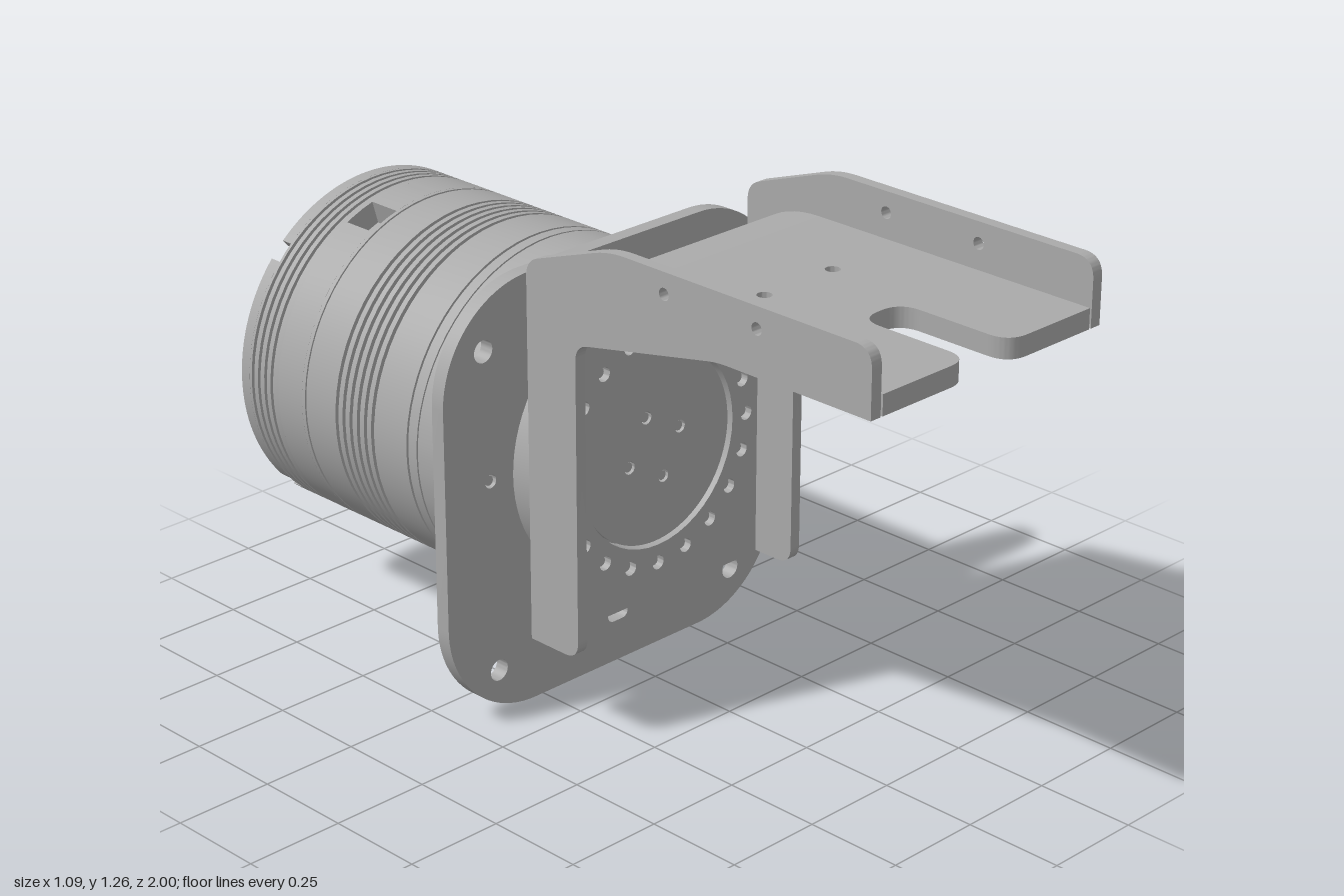
import * as THREE from 'three';
import { toCreasedNormals } from 'three/addons/utils/BufferGeometryUtils.js';

const grey = new THREE.MeshStandardMaterial({ color: 0xaaaaaa });
grey.name = 'machined grey';
const CY = 0.607; // height of the motor axis
const R = 0.435;  // motor radius

function createPart(name, geometry, parent) {
  const mesh = new THREE.Mesh(toCreasedNormals(geometry, 0.5), grey);
  mesh.name = name;
  parent.add(mesh);
  return mesh;
}

function extrude(shape, depth, options = {}) {
  return new THREE.ExtrudeGeometry(shape, { depth, bevelEnabled: false, curveSegments: 16, ...options });
}

// Closed polygon of [x, y, cornerRadius] with softened corners
function roundedPolygon(points) {
  const shape = new THREE.Shape();
  const n = points.length;
  points.forEach(([x, y, r = 0], i) => {
    const p = new THREE.Vector2(x, y);
    const toward = ([a, b]) => new THREE.Vector2(a, b).sub(p).setLength(r).add(p);
    const a = toward(points[(i + n - 1) % n]);
    const b = toward(points[(i + 1) % n]);
    if (i === 0) shape.moveTo(a.x, a.y);
    else shape.lineTo(a.x, a.y);
    if (r > 0) shape.quadraticCurveTo(x, y, b.x, b.y);
  });
  shape.closePath();
  return shape;
}

function addHole(shape, x, y, r) {
  shape.holes.push(new THREE.Path().absarc(x, y, r, 0, Math.PI * 2, true));
}

function circle(r) {
  return new THREE.Shape().absarc(0, 0, r, 0, Math.PI * 2, false);
}

// Turned body along z from [radius, z] points, rear to front
function turned(points) {
  return new THREE.LatheGeometry(points.map(([r, z]) => new THREE.Vector2(r, z)), 72).rotateX(Math.PI / 2);
}

// Turned section with square grooves [z, width, depth]
function grooved(z0, z1, grooves) {
  const points = [[0, z0], [R, z0]];
  for (const [z, w, d] of grooves) {
    points.push([R, z - w / 2], [R - d, z - w / 2], [R - d, z + w / 2], [R, z + w / 2]);
  }
  return turned([...points, [R, z1], [0, z1]]);
}

// Disc slice with radial pockets cut into its rim
function notchedDisc(z0, z1, angles, halfAngle, depth) {
  const shape = new THREE.Shape();
  angles.forEach((a, i) => {
    const next = i + 1 < angles.length ? angles[i + 1] : angles[0] + Math.PI * 2;
    shape.absarc(0, 0, R, a + halfAngle, next - halfAngle, false);
    for (const t of [next - halfAngle, next + halfAngle]) {
      shape.lineTo((R - depth) * Math.cos(t), (R - depth) * Math.sin(t));
    }
  });
  shape.closePath();
  return extrude(shape, z1 - z0, { curveSegments: angles.length > 1 ? 20 : 72 }).translate(0, 0, z0);
}

function createMotor() {
  const motor = new THREE.Group();
  motor.name = 'motor';
  motor.position.y = CY;
  const corners = [1, 3, 5, 7].map((k) => k * Math.PI / 4);
  createPart('endCap', notchedDisc(-1, -0.97, corners, 0.06, 0.045), motor);
  createPart('rearFins', grooved(-0.97, -0.86,
    [-0.957, -0.933, -0.909, -0.885].map((z) => [z, 0.01, 0.018])), motor);
  createPart('cablePortBand', notchedDisc(-0.86, -0.77, [Math.PI / 2 + 0.375], 0.1, 0.06), motor);
  const midGrooves = [[-0.755, 0.008, 0.004]];
  for (let i = 0; i < 6; i++) midGrooves.push([-0.64 + i * 0.026, 0.011, 0.018]);
  midGrooves.push([-0.385, 0.008, 0.006], [-0.35, 0.006, 0.004]);
  createPart('housing', grooved(-0.77, -0.165, midGrooves), motor);
  return motor;
}

function createFlange() {
  const flange = new THREE.Group();
  flange.name = 'mountingFlange';
  const w = 0.545, h = 1.09, r = 0.27;
  const shape = new THREE.Shape();
  shape.absarc(w - r, r, r, -Math.PI / 2, 0, false);
  shape.absarc(w - r, h - r, r, 0, Math.PI / 2, false);
  shape.absarc(r - w, h - r, r, Math.PI / 2, Math.PI, false);
  shape.absarc(r - w, r, r, Math.PI, Math.PI * 1.5, false);
  shape.closePath();
  for (const s of [-1, 1]) {
    addHole(shape, s * 0.42, 0.935, 0.028);
    addHole(shape, s * 0.39, 0.113, 0.027);
    addHole(shape, s * 0.405, CY, 0.017);
  }
  addHole(shape, 0, 0.2, 0.017);
  const slot = new THREE.Path();
  slot.absarc(-0.015, 0.125, 0.018, Math.PI * 1.5, Math.PI / 2, true);
  slot.absarc(0.015, 0.125, 0.018, Math.PI / 2, -Math.PI / 2, true);
  slot.closePath();
  shape.holes.push(slot);
  createPart('flangePlate', extrude(shape, 0.038).translate(0, 0, -0.167), flange);

  // Raised rim and screw of the lower locating hole, and side pins
  const rim = circle(0.03);
  addHole(rim, 0, 0, 0.02);
  createPart('locatingRim', extrude(rim, 0.006).translate(0, 0.2, -0.13), flange);
  for (const [x, y] of [[0, 0.2], [-0.405, CY], [0.405, CY]]) {
    createPart('locatingPin', extrude(circle(0.012), 0.03).translate(x, y, -0.165), flange);
  }
  return flange;
}

function createOutputHub() {
  const hub = new THREE.Group();
  hub.name = 'outputHub';
  hub.position.y = CY;
  createPart('hubDisc', turned([[0, -0.14], [0.32, -0.14], [0.32, -0.122], [0.34, -0.122], [0.348, -0.115],
    [0.348, -0.042], [0.342, -0.035], [0, -0.035]]), hub);
  // Centre boss with four screws
  const boss = circle(0.244);
  const screws = [[-0.028, 0.083], [0.083, 0.028], [-0.083, -0.028], [0.028, -0.083]];
  screws.forEach(([x, y]) => addHole(boss, x, y, 0.016));
  createPart('hubBoss', extrude(boss, 0.035, { curveSegments: 48 }).translate(0, 0, -0.036), hub);
  screws.forEach(([x, y]) => createPart('bossScrew', extrude(circle(0.012), 0.03).translate(x, y, -0.036), hub));
  return hub;
}

function createBracket() {
  const bracket = new THREE.Group();
  bracket.name = 'bracket';
  const W = 0.335;

  // Upright web with bore and bolt circle
  const web = roundedPolygon([[-W, 0.225], [W, 0.225], [W, 0.95], [-W, 0.95]]);
  web.holes.push(new THREE.Path().absarc(0, CY, 0.25, 0, Math.PI * 2, true));
  for (let i = 0; i < 20; i++) {
    const a = i * Math.PI / 10;
    const x = 0.297 * Math.cos(a), y = CY + 0.297 * Math.sin(a);
    addHole(web, x, y, 0.018);
    createPart('rimScrew', extrude(circle(0.013), 0.03).translate(x, y, -0.035), bracket);
  }
  createPart('uprightWeb', extrude(web, 0.045, { curveSegments: 24 }).translate(0, 0, -0.035), bracket);

  // Curved bend joining upright and arm, profile in z and y
  const bend = new THREE.Shape();
  bend.moveTo(0.01, 0.95);
  bend.bezierCurveTo(0.01, 1.04, 0.08, 1.1, 0.2, 1.1);
  bend.lineTo(0.2, 1.15);
  bend.bezierCurveTo(0.05, 1.15, -0.035, 1.07, -0.035, 0.95);
  bend.closePath();
  createPart('webBend', extrude(bend, 2 * W).rotateY(-Math.PI / 2).translate(W, 0, 0), bracket);

  // Forked arm floor, outline in x and z
  const arm = roundedPolygon([[-W, 0.2], [W, 0.2], [W, 1], [0.065, 1, 0.06], [0.065, 0.69, 0.06],
    [-0.065, 0.69, 0.06], [-0.065, 1, 0.06], [-W, 1]]);
  for (const s of [-1, 1]) addHole(arm, s * 0.11, 0.45, 0.018);
  createPart('forkedArm', extrude(arm, 0.05).rotateX(Math.PI / 2).translate(0, 1.15, 0), bracket);

  // Side walls, outline in z and y
  const wall = roundedPolygon([[-0.035, 0.225], [0.122, 0.225, 0.045], [0.122, 1.01, 0.04], [0.56, 1.1, 0.03],
    [1, 1.1], [1, 1.262, 0.05], [0.23, 1.262, 0.05], [-0.035, 1.17, 0.04]]);
  for (const z of [0.4, 0.675]) addHole(wall, z, 1.21, 0.015);
  for (const s of [-1, 1]) {
    const geometry = extrude(wall, 0.03, {
      bevelThickness: 0.01, bevelSize: 0.01, bevelOffset: -0.01, bevelSegments: 2,
    }).rotateY(-Math.PI / 2).translate(s * 0.356 + 0.015, 0, 0);
    createPart(s > 0 ? 'leftWall' : 'rightWall', geometry, bracket);
  }
  return bracket;
}

export function createModel() {
  const model = new THREE.Group();
  model.name = 'motorWithBracket';
  model.add(createMotor(), createFlange(), createOutputHub(), createBracket());
  return model;
}
